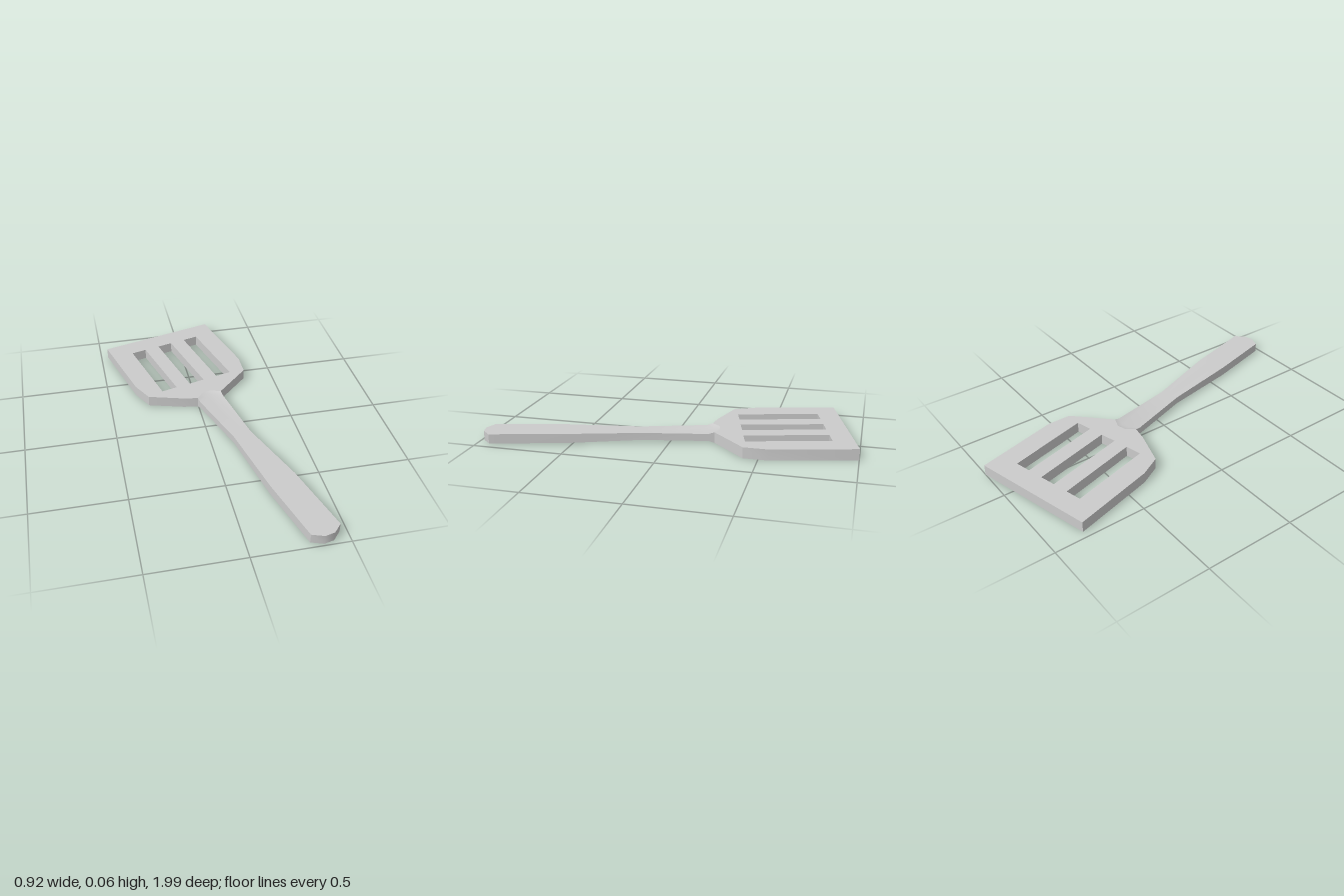
import * as THREE from 'three';
import { toCreasedNormals } from 'three/addons/utils/BufferGeometryUtils.js';

const T = 0.06; // blade thickness
const CREASE = 0.6;
const material = new THREE.MeshStandardMaterial({ color: 0xcccccc });

// Handle stations, blade to grip end: left edge x, z, right edge x, z,
// bulge along the handle axis, half thickness
const STATIONS = [
  [-0.005, -0.195, 0.14, -0.235, -0.035, 0.03],
  [0.005, -0.165, 0.147, -0.205, -0.03, 0.02],
  [0.12, 0.185, 0.22, 0.15, 0, 0.02],
  [0.205, 0.61, 0.355, 0.54, 0, 0.026],
  [0.30, 0.97, 0.46, 0.93, 0.037, 0.026],
];
const ACROSS = 4;

// Points from left to right across one station, ends straight, middle bulged
function stationPoints([lx, lz, rx, rz, bulge]) {
  return Array.from({ length: ACROSS }, (_, j) => {
    const t = j / (ACROSS - 1);
    const b = j > 0 && j < ACROSS - 1 ? bulge : 0;
    return [lx + (rx - lx) * t + 0.26 * b, lz + (rz - lz) * t + 0.966 * b];
  });
}

const toVectors = (points) => points.map(([x, z]) => new THREE.Vector2(x, -z));

// Flat blade with three slanted slots, notched where the handle joins
function bladeGeometry() {
  const outline = [
    [-0.46, -0.825], [-0.34, -0.38], [-0.28, -0.265], [-0.085, -0.208],
    ...stationPoints(STATIONS[0]),
    [0.325, -0.42], [0.325, -0.55], [0.205, -1],
  ];
  const shape = new THREE.Shape(toVectors(outline));
  for (let i = 0; i < 3; i++) {
    const slot = [[-0.31, -0.745], [-0.225, -0.768], [-0.105, -0.327], [-0.193, -0.303]];
    shape.holes.push(new THREE.Path(toVectors(slot.map(([x, z]) => [x + 0.171 * i, z - 0.045 * i]))));
  }
  const geometry = new THREE.ExtrudeGeometry(shape, { depth: T, bevelEnabled: false });
  geometry.rotateX(-Math.PI / 2);
  return toCreasedNormals(geometry, CREASE);
}

// Handle lofted through rings: top edge left to right, then bottom right to left
function handleGeometry() {
  const positions = [];
  const index = [];
  const n = ACROSS * 2;
  for (const station of STATIONS) {
    const points = stationPoints(station);
    const half = station[5];
    for (const [x, z] of points) positions.push(x, T / 2 + half, z);
    for (const [x, z] of points.reverse()) positions.push(x, T / 2 - half, z);
  }
  for (let i = 0; i < STATIONS.length - 1; i++) {
    for (let j = 0; j < n; j++) {
      const a = i * n + j;
      const d = i * n + (j + 1) % n;
      index.push(a, a + n, d + n, a, d + n, d);
    }
  }
  // Rounded grip end
  const last = (STATIONS.length - 1) * n;
  for (let j = 0; j < ACROSS - 1; j++) {
    const top = last + j;
    const bottom = last + n - 1 - j;
    index.push(top, bottom, bottom - 1, top, bottom - 1, top + 1);
  }
  const geometry = new THREE.BufferGeometry();
  geometry.setAttribute('position', new THREE.Float32BufferAttribute(positions, 3));
  geometry.setIndex(index);
  return toCreasedNormals(geometry, CREASE);
}

export function createModel() {
  const group = new THREE.Group();
  group.name = 'spatula';
  const parts = { blade: bladeGeometry(), handle: handleGeometry() };
  for (const [name, geometry] of Object.entries(parts)) {
    const mesh = new THREE.Mesh(geometry, material);
    mesh.name = name;
    group.add(mesh);
  }
  return group;
}
